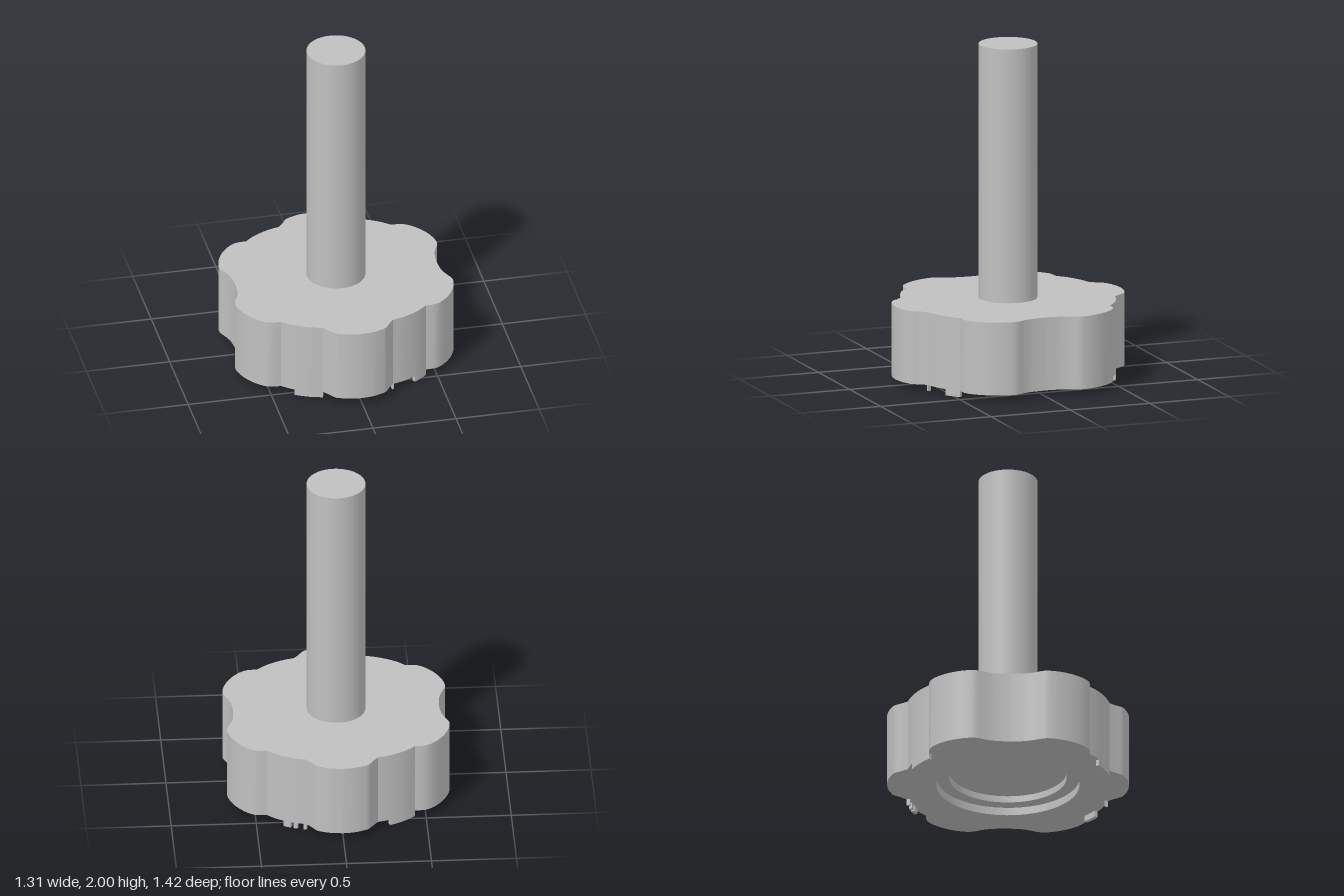
import * as THREE from 'three';
import { toCreasedNormals } from 'three/addons/utils/BufferGeometryUtils.js';

const BASE = 0.037, TOP = 0.475;
const curve = (...p) => new THREE.SplineCurve(p.map(([x, y]) => new THREE.Vector2(x, y)));

// One quarter of the knob outline: corner lobe, shallow web, end lobe
const cornerLobe = curve([0.605, 0], [0.608, 0.05], [0.615, 0.1], [0.632, 0.15], [0.648, 0.185], [0.655, 0.22],
  [0.645, 0.28], [0.62, 0.342], [0.59, 0.39], [0.55, 0.435], [0.5, 0.467], [0.435, 0.473]);
const web = curve([0.435, 0.473], [0.385, 0.516], [0.33, 0.549], [0.27, 0.575], [0.21, 0.592]);
const endLobe = curve([0.21, 0.592], [0.182, 0.628], [0.155, 0.667], [0.13, 0.682], [0.07, 0.703], [0, 0.711]);

function knobOutline() {
  const quarter = [...cornerLobe.getPoints(40).slice(0, -1), ...web.getPoints(12).slice(0, -1), ...endLobe.getPoints(24)];
  const flip = (pts, sx, sy) => pts.map(p => new THREE.Vector2(p.x * sx, p.y * sy));
  const half = [...quarter, ...flip(quarter, -1, 1).reverse().slice(1)];
  return [...half, ...flip(half, 1, -1).reverse().slice(1, -1)];
}

// Vertical wall around a closed outline
function wallGeometry(pts, y0, y1) {
  const pos = [];
  pts.forEach((p, i) => {
    const q = pts[(i + 1) % pts.length];
    const a = [p.x, y0, -p.y], b = [q.x, y0, -q.y], c = [q.x, y1, -q.y], d = [p.x, y1, -p.y];
    pos.push(...a, ...b, ...c, ...a, ...c, ...d);
  });
  const g = new THREE.BufferGeometry();
  g.setAttribute('position', new THREE.Float32BufferAttribute(pos, 3));
  return toCreasedNormals(g, 0.4);
}

// Small foot hanging under a web, between two x positions of one quadrant
function footGeometry(x0, x1, sx, sz) {
  const at = x => web.getPoint((0.435 - x) / 0.225);
  const outer = [0, 0.25, 0.5, 0.75, 1].map(t => at(x0 + (x1 - x0) * t));
  const inner = outer.map(p => p.clone().multiplyScalar(0.965)).reverse();
  const pts = [...outer, ...inner].map(p => new THREE.Vector2(p.x * sx, -p.y * sz));
  const g = new THREE.ExtrudeGeometry(new THREE.Shape(pts), { depth: BASE, bevelEnabled: false });
  return g.rotateX(-Math.PI / 2);
}

export function createModel() {
  const model = new THREE.Group();
  const grey = new THREE.MeshStandardMaterial({ color: 0xc0c0c0 });
  grey.name = 'grey';
  const add = (name, geometry, parent = model) => {
    const mesh = new THREE.Mesh(geometry, grey);
    mesh.name = name;
    parent.add(mesh);
    return mesh;
  };

  // Lobed knob: side wall, top face and underside with a round opening
  const outline = knobOutline();
  const knob = new THREE.Group();
  knob.name = 'knob';
  model.add(knob);
  add('knobWall', wallGeometry(outline, BASE, TOP), knob);
  add('knobTop', new THREE.ShapeGeometry(new THREE.Shape(outline)).rotateX(-Math.PI / 2).translate(0, TOP, 0), knob);
  const under = new THREE.Shape(outline);
  under.holes.push(new THREE.Path().absarc(0, 0, 0.42, 0, Math.PI * 2, true));
  add('knobUnderside', new THREE.ShapeGeometry(under, 32).rotateX(Math.PI / 2).translate(0, BASE, 0), knob);

  // Stepped recess in the underside
  const recess = [[0, 0.125], [0.345, 0.125], [0.345, 0.085], [0.42, 0.085], [0.42, BASE]]
    .map(([r, y]) => new THREE.Vector2(r, y));
  add('recess', toCreasedNormals(new THREE.LatheGeometry(recess, 64), 0.6), knob);

  // Shaft
  const shaft = new THREE.CylinderGeometry(0.173, 0.173, 2 - TOP, 64);
  add('shaft', shaft.translate(0, 1 + TOP / 2, 0));

  // Feet: [from x, to x, side, front or back]
  const feet = [
    [0.35, 0.435, 1, 1], [0.21, 0.22, 1, 1],
    [0.21, 0.36, -1, 1],
    [0.28, 0.435, -1, -1],
    [0.21, 0.23, 1, -1], [0.26, 0.28, 1, -1], [0.295, 0.335, 1, -1],
  ];
  feet.forEach(f => add('foot', footGeometry(...f)));

  return model;
}
